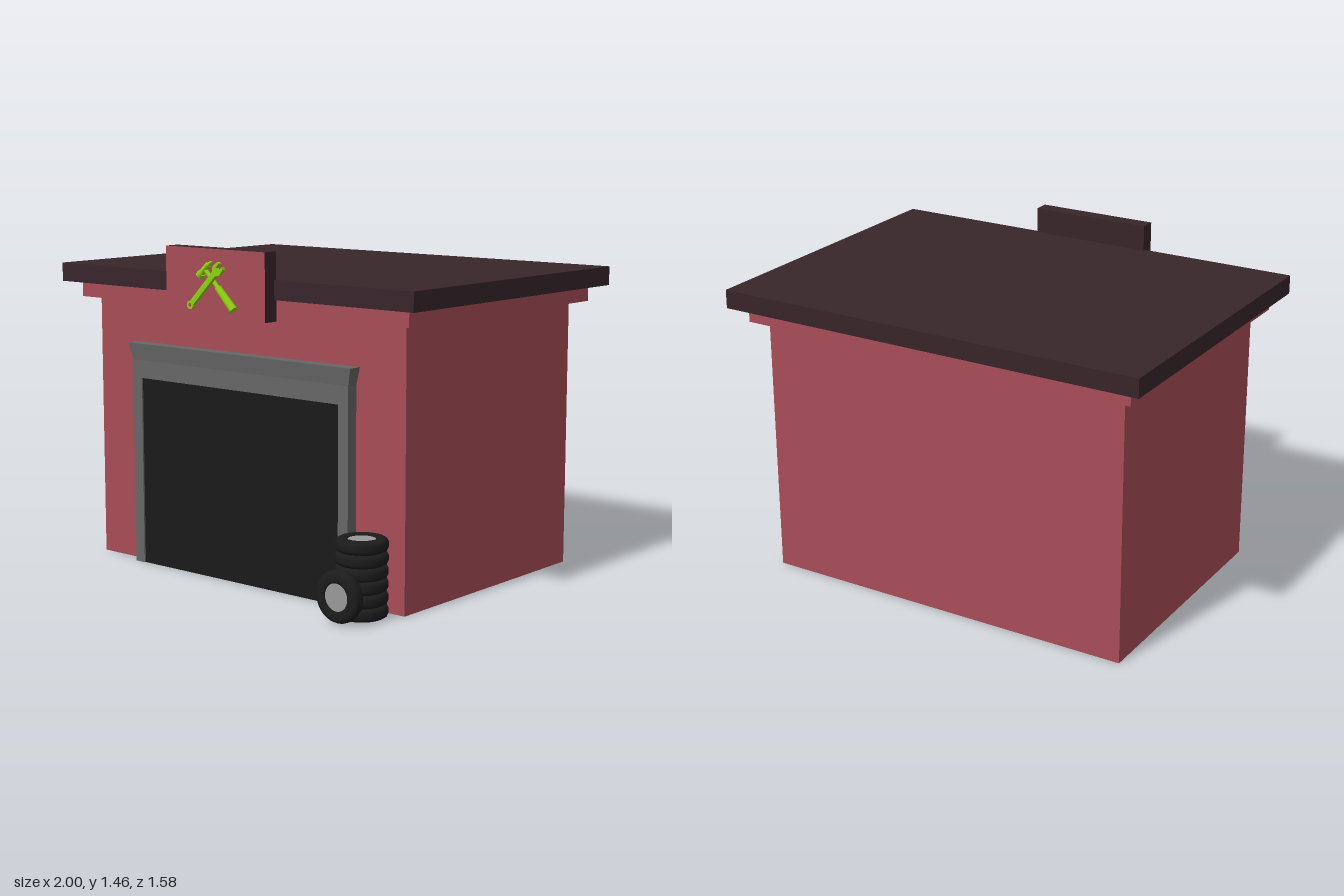
import * as THREE from 'three';

const mat = (color, extra = {}) => new THREE.MeshStandardMaterial({ color, ...extra });

export function createModel() {
  const model = new THREE.Group();
  const red = mat(0xa84d57);
  const redWall = mat(0xa84d57, { side: THREE.DoubleSide });
  const dark = mat(0x38252a);
  const grey = mat(0x666666);
  const black = mat(0x1a1a1a);
  const rubber = mat(0x1c1c1c);
  const hubGrey = mat(0x999999);
  const green = mat(0x8fd010);

  const add = (parent, name, geometry, material) => {
    const mesh = new THREE.Mesh(geometry, material);
    mesh.name = name;
    parent.add(mesh);
    return mesh;
  };
  // Box given by its minimum and maximum on each axis
  const box = (parent, name, [x0, x1], [y0, y1], [z0, z1], material) => {
    const mesh = add(parent, name, new THREE.BoxGeometry(x1 - x0, y1 - y0, z1 - z0), material);
    mesh.position.set((x0 + x1) / 2, (y0 + y1) / 2, (z0 + z1) / 2);
    return mesh;
  };
  const group = (name) => {
    const g = new THREE.Group();
    g.name = name;
    model.add(g);
    return g;
  };

  // Hollow walls, open underneath
  const walls = group('walls');
  const H = 1.2, W = 1.75, zBack = -0.66, zFront = 0.52;
  const zMid = (zBack + zFront) / 2;
  for (const [name, width, x, z, turn] of [
    ['frontWall', W, 0, zFront, 0],
    ['backWall', W, 0, zBack, Math.PI],
    ['leftWall', zFront - zBack, W / 2, zMid, Math.PI / 2],
    ['rightWall', zFront - zBack, -W / 2, zMid, -Math.PI / 2],
  ]) {
    const wall = add(walls, name, new THREE.PlaneGeometry(width, H), redWall);
    wall.position.set(x, H / 2, z);
    wall.rotation.y = turn;
  }

  // Cornice and flat roof
  box(model, 'cornice', [-0.933, 0.933], [1.187, 1.258], [-0.725, 0.58], red);
  box(model, 'roof', [-1, 1], [1.257, 1.34], [-0.79, 0.64], dark);

  // Garage door with posts and a flared lintel
  const doorway = group('doorway');
  box(doorway, 'door', [-0.57, 0.57], [0, 0.85], [0.525, 0.566], black);
  for (const s of [-1, 1]) {
    const post = box(doorway, 'doorPost', [0.567, 0.62], [0, 0.925], [0.52, 0.573], grey);
    post.position.x *= s;
  }
  box(doorway, 'doorLintel', [-0.567, 0.567], [0.845, 0.925], [0.52, 0.573], grey);
  const flare = new THREE.BoxGeometry(1.24, 0.075, 0.053).toNonIndexed();
  const p = flare.attributes.position;
  for (let i = 0; i < p.count; i++) {
    if (p.getY(i) > 0) {
      p.setX(i, p.getX(i) * 1.03);
      if (p.getZ(i) > 0) p.setZ(i, p.getZ(i) + 0.009);
    }
  }
  flare.computeVertexNormals();
  add(doorway, 'lintelCap', flare, grey).position.set(0, 0.9625, 0.5465);

  // Sign board with a red face
  const sign = group('sign');
  box(sign, 'signBoard', [-0.283, 0.281], [1.167, 1.456], [0.625, 0.695],
    [dark, dark, dark, dark, red, dark]);

  // Hammer, leaning to the upper left
  const hammer = new THREE.Group();
  hammer.name = 'hammer';
  hammer.position.set(0.04, 1.29, 0.71);
  hammer.rotation.z = Math.PI / 4;
  sign.add(hammer);
  const rod = (name, r0, r1, length, y) => {
    const mesh = add(hammer, name, new THREE.CylinderGeometry(r0, r1, length, 12), green);
    mesh.position.y = y;
    return mesh;
  };
  rod('hammerHandle', 0.01, 0.01, 0.2, 0.02);
  rod('hammerGrip', 0.015, 0.018, 0.125, -0.052);
  const head = rod('hammerHead', 0.013, 0.013, 0.055, 0.115);
  head.rotation.z = Math.PI / 2;
  const face = rod('hammerFace', 0.018, 0.018, 0.018, 0.115);
  face.rotation.z = Math.PI / 2;
  face.position.x = -0.034;
  const peen = rod('hammerPeen', 0.003, 0.012, 0.03, 0.112);
  peen.rotation.z = -Math.PI / 2 - 0.2;
  peen.position.x = 0.038;

  // Wrench, leaning to the upper right: open jaw above, ring below
  const outline = new THREE.Shape();
  outline.moveTo(-0.012, -0.11);
  outline.lineTo(-0.012, 0.075);
  outline.lineTo(-0.026, 0.095);
  outline.lineTo(-0.022, 0.125);
  outline.lineTo(-0.01, 0.13);
  outline.lineTo(-0.01, 0.102);
  outline.lineTo(0.01, 0.102);
  outline.lineTo(0.01, 0.13);
  outline.lineTo(0.022, 0.125);
  outline.lineTo(0.026, 0.095);
  outline.lineTo(0.012, 0.075);
  outline.lineTo(0.012, -0.11);
  outline.absarc(0, -0.118, 0.018, 0.6, Math.PI - 0.6, true);
  const hole = new THREE.Path();
  hole.absarc(0, -0.118, 0.008, 0, Math.PI * 2, true);
  outline.holes.push(hole);
  const wrench = add(sign, 'wrench',
    new THREE.ExtrudeGeometry(outline, { depth: 0.018, bevelEnabled: false, curveSegments: 10 }), green);
  wrench.position.set(-0.02, 1.302, 0.72);
  wrench.rotation.z = -Math.PI / 4;

  // Tyres: a rounded lathe ring with a disc in the middle
  const tyreProfile = [
    [0.058, -0.022], [0.066, -0.0275], [0.092, -0.0275], [0.104, -0.021], [0.109, -0.01],
    [0.109, 0.01], [0.104, 0.021], [0.092, 0.0275], [0.066, 0.0275], [0.058, 0.022], [0.058, -0.022],
  ].map(([r, y]) => new THREE.Vector2(r, y));
  const tyreGeometry = new THREE.LatheGeometry(tyreProfile, 28);
  const hubGeometry = new THREE.CylinderGeometry(0.059, 0.059, 0.042, 28);
  const tyres = group('tyres');
  const tyre = (name, x, y, z) => {
    const t = new THREE.Group();
    t.name = name;
    add(t, 'tyreRing', tyreGeometry, rubber);
    add(t, 'hub', hubGeometry, hubGrey);
    t.position.set(x, y, z);
    tyres.add(t);
    return t;
  };
  for (let i = 0; i < 6; i++) tyre('stackedTyre', 0.74, 0.0285 + i * 0.0548, 0.63);
  tyre('leaningTyre', 0.737, 0.112, 0.767).rotation.x = Math.PI / 2;

  return model;
}
